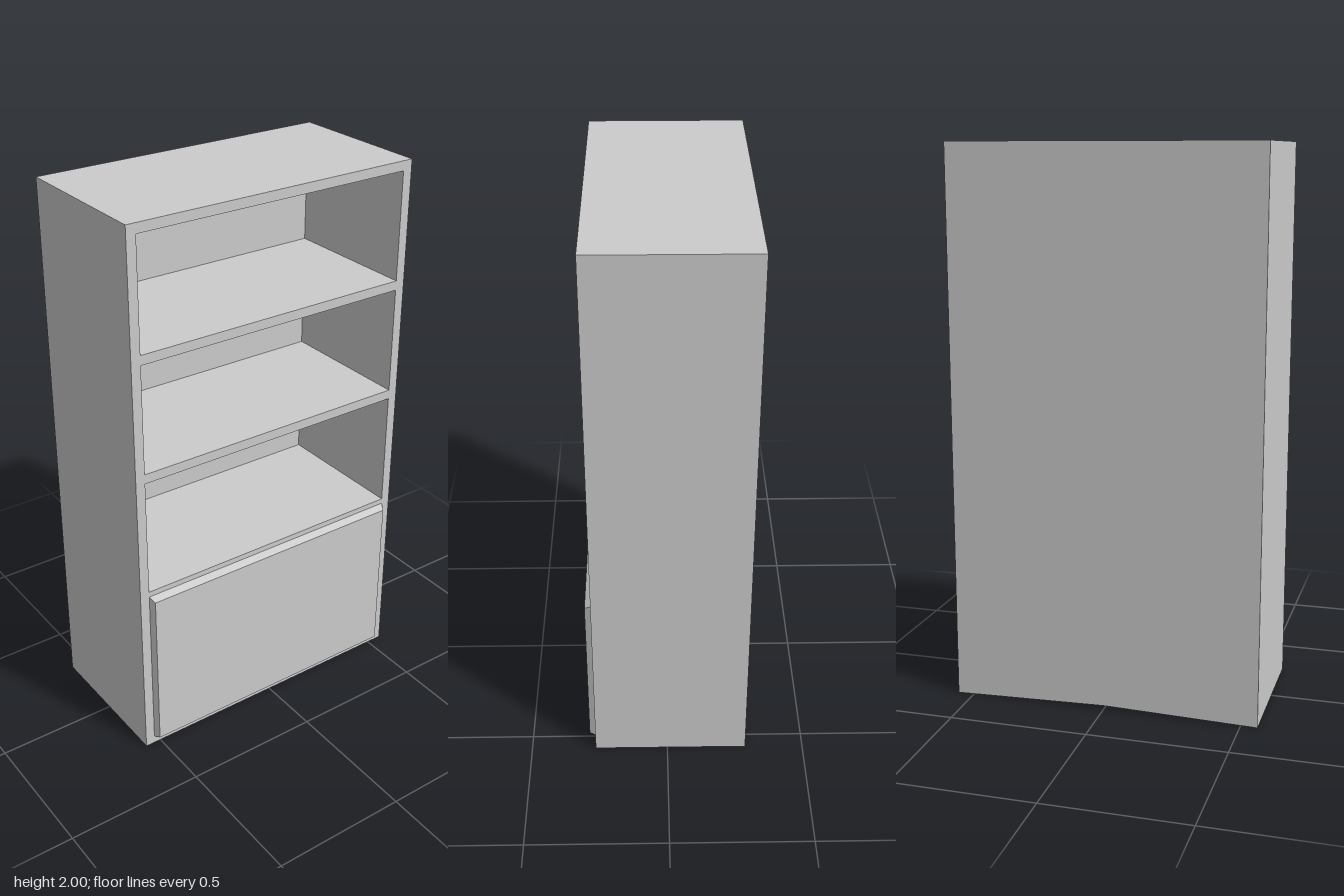
import * as THREE from 'three';

const W = 1.12, H = 2, FRONT = 0.265, BACK = -0.288, WALL = 0.035;
const INNER = W / 2 - WALL;
const material = new THREE.MeshStandardMaterial({ color: 0xcccccc, flatShading: true });

function rectHole(x, y0, y1) {
  return new THREE.Path([[-x, y0], [-x, y1], [x, y1], [x, y0]].map(p => new THREE.Vector2(...p)));
}

// Move every vertex by a rule, then refresh the normals
function reshape(geometry, rule) {
  const pos = geometry.attributes.position, v = new THREE.Vector3();
  for (let i = 0; i < pos.count; i++) {
    rule(v.fromBufferAttribute(pos, i));
    pos.setXYZ(i, v.x, v.y, v.z);
  }
  geometry.computeVertexNormals();
  return geometry;
}

// The underside rises slightly at the middle, towards the back
function liftUnderside(v) {
  if (Math.abs(v.x) < 1e-4 && v.y < 1e-4) v.y = 0.015 * (FRONT - v.z) / (FRONT - BACK);
}

export function createModel() {
  const group = new THREE.Group();
  group.name = 'bookcase';
  const add = (name, geometry) => {
    const mesh = new THREE.Mesh(geometry, material);
    mesh.name = name;
    group.add(mesh);
  };

  // Frame with three open compartments above a closed cupboard
  const outline = new THREE.Shape(
    [[-W / 2, 0], [0, 0], [W / 2, 0], [W / 2, H], [-W / 2, H]].map(p => new THREE.Vector2(...p)));
  for (const [y0, y1] of [[0.675, 1.107], [1.142, 1.535], [1.57, 1.965]]) {
    outline.holes.push(rectHole(INNER, y0, y1));
  }
  const depth = FRONT - BACK - WALL;
  const frame = new THREE.ExtrudeGeometry(outline, { depth, bevelEnabled: false });
  frame.translate(0, 0, BACK + WALL);
  add('frame', reshape(frame, liftUnderside));

  // Back panel
  const back = new THREE.BoxGeometry(W, H, WALL, 2, 1, 1).translate(0, H / 2, BACK + WALL / 2);
  add('backPanel', reshape(back, liftUnderside));

  // Cupboard door with bevelled edges
  const y0 = 0.03, y1 = 0.655, thick = 0.023;
  const door = new THREE.BoxGeometry(2 * INNER, y1 - y0, thick);
  door.translate(0, (y0 + y1) / 2, FRONT + thick / 2);
  add('door', reshape(door, v => {
    if (v.z < FRONT + thick / 2) return;
    v.x -= Math.sign(v.x) * 0.01;
    v.y += v.y > 0.3 ? -0.016 : 0.005;
  }));

  return group;
}
